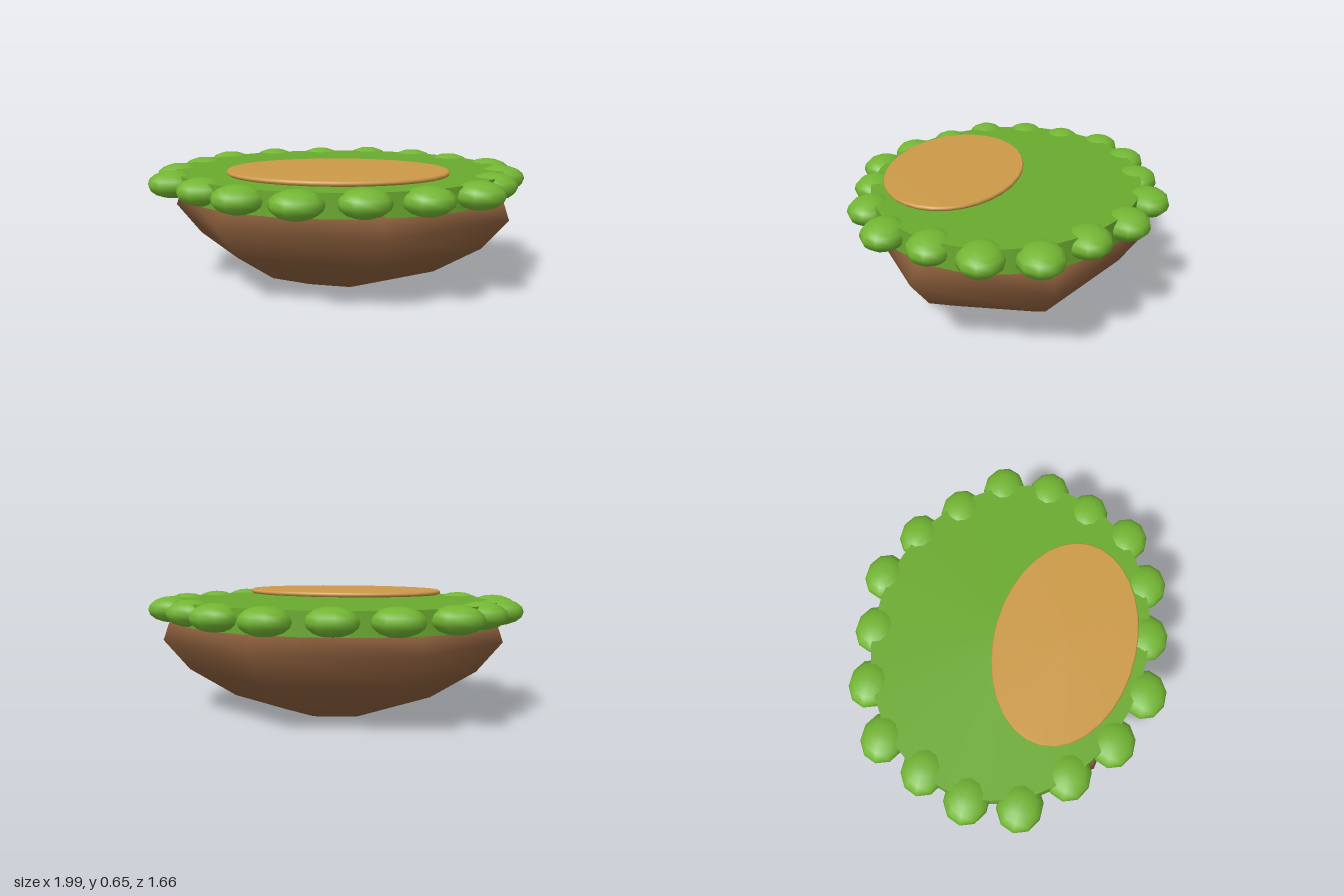
import * as THREE from 'three';

export function createModel() {
  const island = new THREE.Group();
  const material = (color) => new THREE.MeshStandardMaterial({ color });
  const soil = material(0x8b5e3c), grass = material(0x6aaa2e);
  const leaf = material(0x72b533), sand = material(0xcc9a48);

  const add = (name, geometry, mat) => {
    const mesh = new THREE.Mesh(geometry, mat);
    mesh.name = name;
    island.add(mesh);
    return mesh;
  };
  const profile = (points) => points.map(([r, y]) => new THREE.Vector2(r, y));

  // Seven-sided soil base, smooth shaded, oval in plan
  const base = new THREE.LatheGeometry(profile([
    [0, 0], [0.26, 0], [0.545, 0.09], [0.79, 0.24], [0.925, 0.4], [0.89, 0.5], [0, 0.51],
  ]), 7, -Math.PI / 2);
  // Slight lean towards +x that grows with the radius
  const p = base.attributes.position;
  for (let i = 0; i < p.count; i++) {
    const r = Math.hypot(p.getX(i), p.getZ(i));
    p.setX(i, p.getX(i) + 0.027 * r);
  }
  base.scale(1, 1, 0.785);
  add('soilBase', base, soil);

  // Oval grass slab
  const slab = new THREE.CylinderGeometry(1, 1, 0.12, 40);
  slab.scale(0.87, 1, 0.7);
  add('grassTop', slab, grass).position.y = 0.55;

  // Thin sand patch with a softened rim, floating just above the grass
  const patch = new THREE.LatheGeometry(profile([
    [0, 0], [0.98, 0], [0.995, 0.006], [1, 0.012], [0.995, 0.019], [0.98, 0.025], [0, 0.025],
  ]), 32);
  patch.scale(0.557, 1, 0.36);
  add('sandPatch', patch, sand).position.set(0.005, 0.625, 0.28);

  // Ring of bushes whose distance from the centre cycles in threes
  const bush = new THREE.SphereGeometry(1, 10, 8);
  bush.scale(0.13, 0.07, 0.112);
  const reach = [1, 1.03, 0.965];
  for (let i = 0; i < 18; i++) {
    const a = (i / 18) * Math.PI * 2, s = reach[i % 3];
    add('bush', bush, leaf).position.set(
      0.865 * s * Math.cos(a) - 0.003, 0.56, -0.715 * s * Math.sin(a));
  }
  return island;
}
